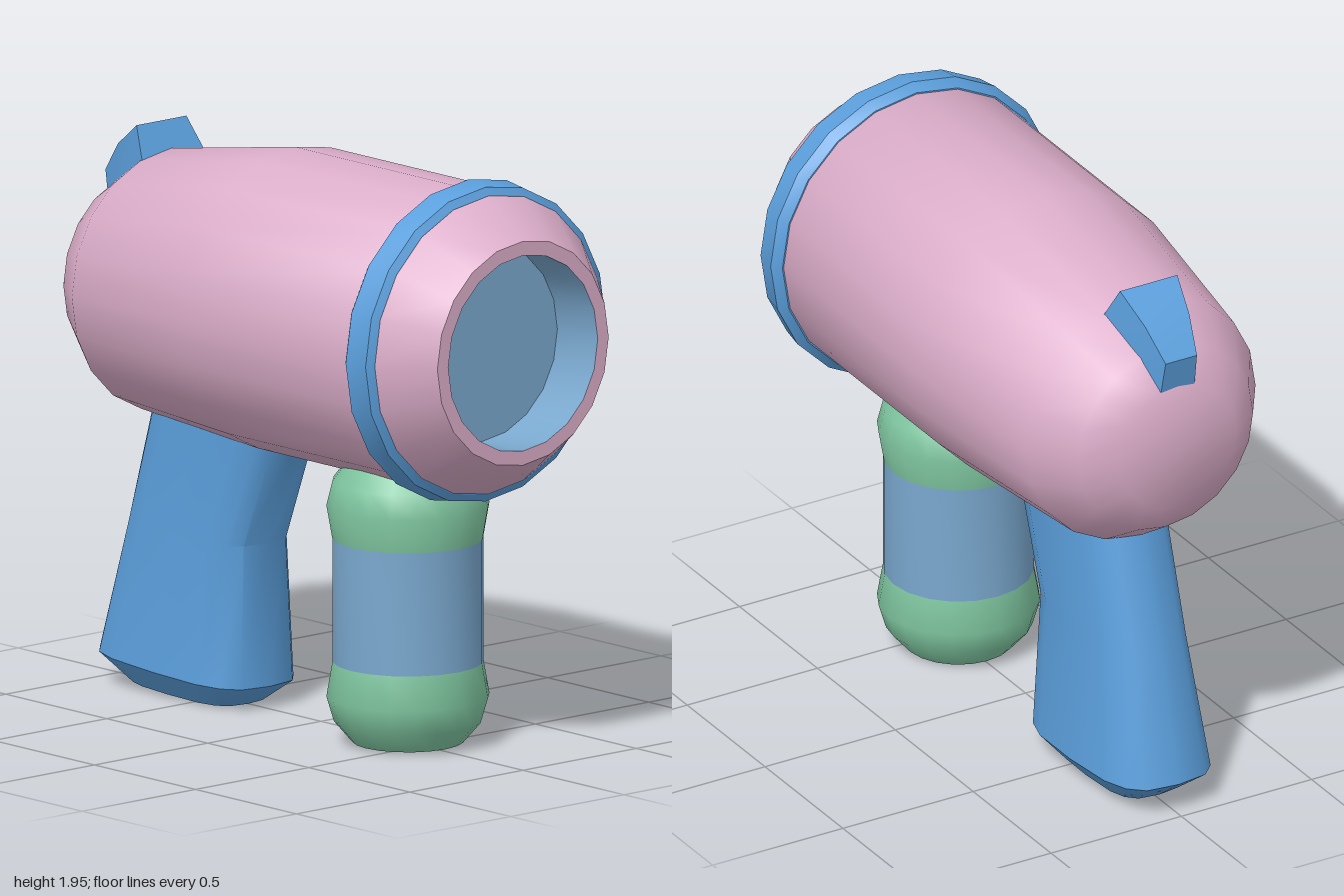
import * as THREE from 'three';
import { toCreasedNormals } from 'three/addons/utils/BufferGeometryUtils.js';

const CREASE = 0.7;
const AXIS_Y = 1.41;

function material(name, color) {
  const m = new THREE.MeshStandardMaterial({ color });
  m.name = name;
  return m;
}

function lathe(points) {
  return new THREE.LatheGeometry(points.map(([r, y]) => new THREE.Vector2(r, y)), 20);
}

// Lathe turned to run along z, at the height of the barrel axis
function barrelLathe(points) {
  return lathe(points).rotateX(Math.PI / 2).translate(0, AXIS_Y, 0);
}

// Loft of rounded sections; each is [frontZ, frontY, backZ, backY, halfWidth], bottom to top
function loft(sections, sides) {
  const pos = [], index = [];
  const soft = (v) => Math.sign(v) * Math.pow(Math.abs(v), 0.6);
  for (const [fz, fy, bz, by, w] of sections) {
    for (let i = 0; i < sides; i++) {
      const a = (i / sides) * Math.PI * 2;
      const t = 0.5 + 0.5 * soft(Math.sin(a));
      pos.push(w * soft(Math.cos(a)), fy + (by - fy) * t, fz + (bz - fz) * t);
    }
  }
  for (let s = 0; s < sections.length - 1; s++) {
    for (let i = 0; i < sides; i++) {
      const a = s * sides + i, b = s * sides + (i + 1) % sides;
      index.push(a, b, b + sides, a, b + sides, a + sides);
    }
  }
  // End caps
  const top = (sections.length - 1) * sides;
  for (let i = 1; i < sides - 1; i++) {
    index.push(0, i + 1, i, top, top + i, top + i + 1);
  }
  const g = new THREE.BufferGeometry();
  g.setAttribute('position', new THREE.Float32BufferAttribute(pos, 3));
  g.setIndex(index);
  return g;
}

export function createModel() {
  const model = new THREE.Group();
  const pink = material('pink', 0xdcaeca);
  const blue = material('blue', 0x5b9fdc);
  const paleBlue = material('paleBlue', 0x7aa8ce);
  const green = material('green', 0x7fc6a0);

  function add(name, geometry, mat, parent = model, crease = CREASE) {
    const mesh = new THREE.Mesh(toCreasedNormals(geometry, crease), mat);
    mesh.name = name;
    parent.add(mesh);
    return mesh;
  }

  // Barrel: drops slightly towards the tapered rear
  const barrel = barrelLathe([
    [0, -0.98], [0.225, -0.98], [0.335, -0.9], [0.44, -0.74], [0.51, -0.13],
    [0.51, 0.82], [0.378, 1], [0.33, 1],
  ]);
  const p = barrel.attributes.position;
  for (let i = 0; i < p.count; i++) {
    const t = THREE.MathUtils.clamp((-0.13 - p.getZ(i)) / 0.6, 0, 1);
    p.setY(i, p.getY(i) - 0.035 * t);
  }
  add('barrel', barrel, pink);

  // Recessed muzzle opening
  add('muzzleRecess', barrelLathe([[0.33, 1], [0.33, 0.8], [0, 0.8]]), paleBlue);

  // Raised ring near the muzzle
  add('barrelRing', barrelLathe([
    [0.49, 0.7], [0.515, 0.7], [0.542, 0.73], [0.53, 0.815], [0.505, 0.83], [0.48, 0.83],
  ]), blue, model, 0.4);

  // Front grip: green ends around a pale blue sleeve
  const grip = new THREE.Group();
  grip.name = 'frontGrip';
  grip.position.z = 0.43;
  model.add(grip);
  add('gripBase', lathe([[0, 0.01], [0.185, 0.01], [0.245, 0.08], [0.27, 0.165], [0.25, 0.28]]), green, grip);
  add('gripSleeve', lathe([[0.25, 0.28], [0.25, 0.695]]), paleBlue, grip);
  add('gripCollar', lathe([[0.25, 0.695], [0.27, 0.81], [0.25, 0.89], [0.19, 0.97], [0, 0.97]]), green, grip);

  // Rear handle
  add('rearHandle', loft([
    [-0.36, 0.003, -0.86, 0.02, 0.13],
    [-0.25, 0.08, -0.985, 0.115, 0.2],
    [-0.265, 0.56, -0.86, 0.56, 0.165],
    [-0.13, 0.905, -0.755, 0.93, 0.16],
    [-0.095, 1.0, -0.735, 1.0, 0.16],
  ], 16), blue);

  // Rear sight: bent tapering block, stations are [bottomZ, bottomY, topZ, topY, bottomHalf, topHalf]
  const stations = [
    [-0.725, 1.78, -0.79, 1.9, 0.14, 0.11],
    [-0.86, 1.66, -0.91, 1.815, 0.11, 0.085],
    [-0.975, 1.58, -1.0, 1.71, 0.065, 0.06],
  ];
  const sight = new THREE.BoxGeometry(2, 2, 2, 1, 1, 2);
  const q = sight.attributes.position;
  for (let i = 0; i < q.count; i++) {
    const [bz, by, tz, ty, bw, tw] = stations[Math.round(1 - q.getZ(i))];
    const top = q.getY(i) > 0;
    q.setXYZ(i, q.getX(i) * (top ? tw : bw), top ? ty : by, top ? tz : bz);
  }
  add('rearSight', sight, blue, model, 0.5);

  return model;
}
